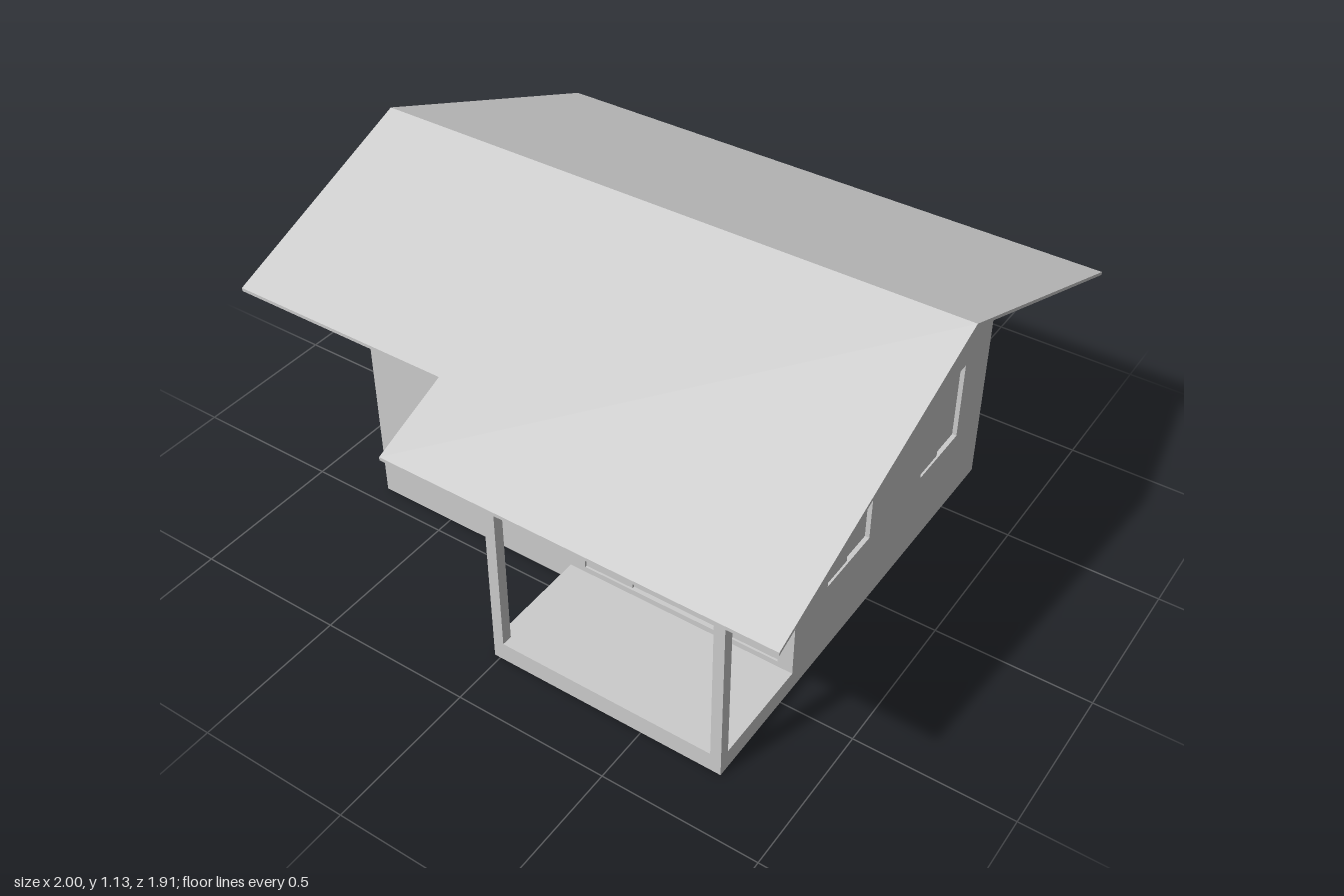
import * as THREE from 'three';

const mat = new THREE.MeshStandardMaterial({ color: 0xcccccc, flatShading: true });
const HX = 0.765, FRONT = 0.44, BACK = -0.72, PORCH = 0.815, PORCH_X = -0.02;
const T = 0.035, FLOOR = 0.065;
const roofY = (z) => 1.132 - 0.4 * Math.abs(z);
const underRoof = (z) => roofY(z) - 0.01;

function add(parent, name, geometry) {
  const mesh = new THREE.Mesh(geometry, mat);
  mesh.name = name;
  parent.add(mesh);
  return mesh;
}

// Box given by its limits on each axis
function block(parent, name, x0, x1, y0, y1, z0, z1) {
  const mesh = add(parent, name, new THREE.BoxGeometry(x1 - x0, y1 - y0, z1 - z0));
  mesh.position.set((x0 + x1) / 2, (y0 + y1) / 2, (z0 + z1) / 2);
  return mesh;
}

const outline = (points, Type = THREE.Shape) => new Type(points.map(([x, y]) => new THREE.Vector2(x, y)));
const rect = (x0, x1, y0, y1) => [[x0, y0], [x1, y0], [x1, y1], [x0, y1]];

// Wall with its outer face on local z = 0; each opening is filled with sliding panels
function wall(name, points, openings) {
  const group = new THREE.Group();
  group.name = name;
  const shape = outline(points);
  for (const o of openings) shape.holes.push(outline(rect(o.x0, o.x1, o.y0, o.y1), THREE.Path));
  const geometry = new THREE.ExtrudeGeometry(shape, { depth: T, bevelEnabled: false });
  add(group, name + 'Panel', geometry.translate(0, 0, -T));
  for (const o of openings) {
    const w = (o.x1 - o.x0) / o.depths.length;
    o.depths.forEach((d, i) =>
      block(group, o.name, o.x0 + i * w, o.x0 + (i + 1) * w, o.y0, o.y1, -T, -d));
  }
  return group;
}

const windowAt = (x) => ({ name: 'windowPane', x0: x - 0.122, x1: x + 0.122, y0: 0.265, y1: 0.545, depths: [0.007, 0.015] });

// Ring of ground beams with cross ribs and a raised slab
function slab(parent, name, x0, x1, z0, z1, top, ribX, ribZ, b = T) {
  const low = top - 0.02;
  block(parent, name, x0, x1, low, top, z0, z1);
  const h = b / 2;
  for (const x of [x0 + h, x1 - h, ...ribX]) block(parent, name + 'Beam', x - h, x + h, 0, low, z0, z1);
  for (const z of [z0 + h, z1 - h, ...ribZ]) block(parent, name + 'Beam', x0, x1, 0, low, z - h, z + h);
}

export function createModel() {
  const house = new THREE.Group();
  house.name = 'house';

  // Foundations
  slab(house, 'houseFloor', -HX, HX, BACK, FRONT, FLOOR, [0], [-0.14]);
  slab(house, 'porchFloor', PORCH_X, HX, FRONT - T, PORCH, FLOOR, [], []);
  slab(house, 'backStep', -HX, -0.355, -0.91, BACK, 0.08, [-0.56], [], 0.03);

  // Front wall with a window and a four-panel sliding door
  const front = wall('frontWall', rect(-HX, HX, 0, underRoof(FRONT)), [
    windowAt(-0.377),
    { name: 'slidingDoorPanel', x0: 0.035, x1: 0.715, y0: 0.085, y1: 0.545, depths: [0.007, 0.015, 0.015, 0.007] },
  ]);
  front.position.z = FRONT;

  // Back wall with two windows and a plain door
  const back = wall('backWall', rect(-HX, HX, 0, underRoof(BACK)), [
    windowAt(-0.37), windowAt(0.15),
    { name: 'backDoor', x0: 0.42, x1: 0.63, y0: 0.085, y1: 0.545, depths: [0.002] },
  ]);
  back.rotation.y = Math.PI;
  back.position.z = BACK;
  block(back, 'doorHandle', 0.585, 0.593, 0.21, 0.295, 0.008, 0.014);
  for (const y of [0.22, 0.28]) block(back, 'handleMount', 0.586, 0.592, y, y + 0.006, -0.004, 0.01);
  house.add(front, back);

  // Gable walls, mirrored to both sides
  const profile = [[FRONT, 0], [FRONT, underRoof(FRONT)], [0, underRoof(0)], [BACK, underRoof(BACK)], [BACK, 0]];
  for (const side of [1, -1]) {
    const gable = wall(side > 0 ? 'leftGable' : 'rightGable',
      profile.map(([z, y]) => [-side * z, y]),
      [0.14, -0.425].map((z) => windowAt(-side * z)));
    gable.rotation.y = side * Math.PI / 2;
    gable.position.x = side * HX;
    house.add(gable);
  }

  // Porch posts
  for (const x of [PORCH_X, HX - T]) block(house, 'porchPost', x, x + T, 0, underRoof(PORCH), PORCH - T, PORCH);

  // Thin gabled roof; the front slope is shorter away from the porch
  const roofPart = (name, x0, x1, zFront) => {
    const zs = [-0.955, 0, zFront];
    const top = zs.map((z) => [-z, roofY(z)]);
    const bottom = zs.map((z) => [-z, roofY(z) - 0.011]).reverse();
    const geometry = new THREE.ExtrudeGeometry(outline([...top, ...bottom]), { depth: x1 - x0, bevelEnabled: false });
    add(house, name, geometry.rotateY(Math.PI / 2).translate(x0, 0, 0));
  };
  roofPart('mainRoof', -1, -0.25, 0.695);
  roofPart('porchRoof', -0.25, 1, 0.955);

  return house;
}
